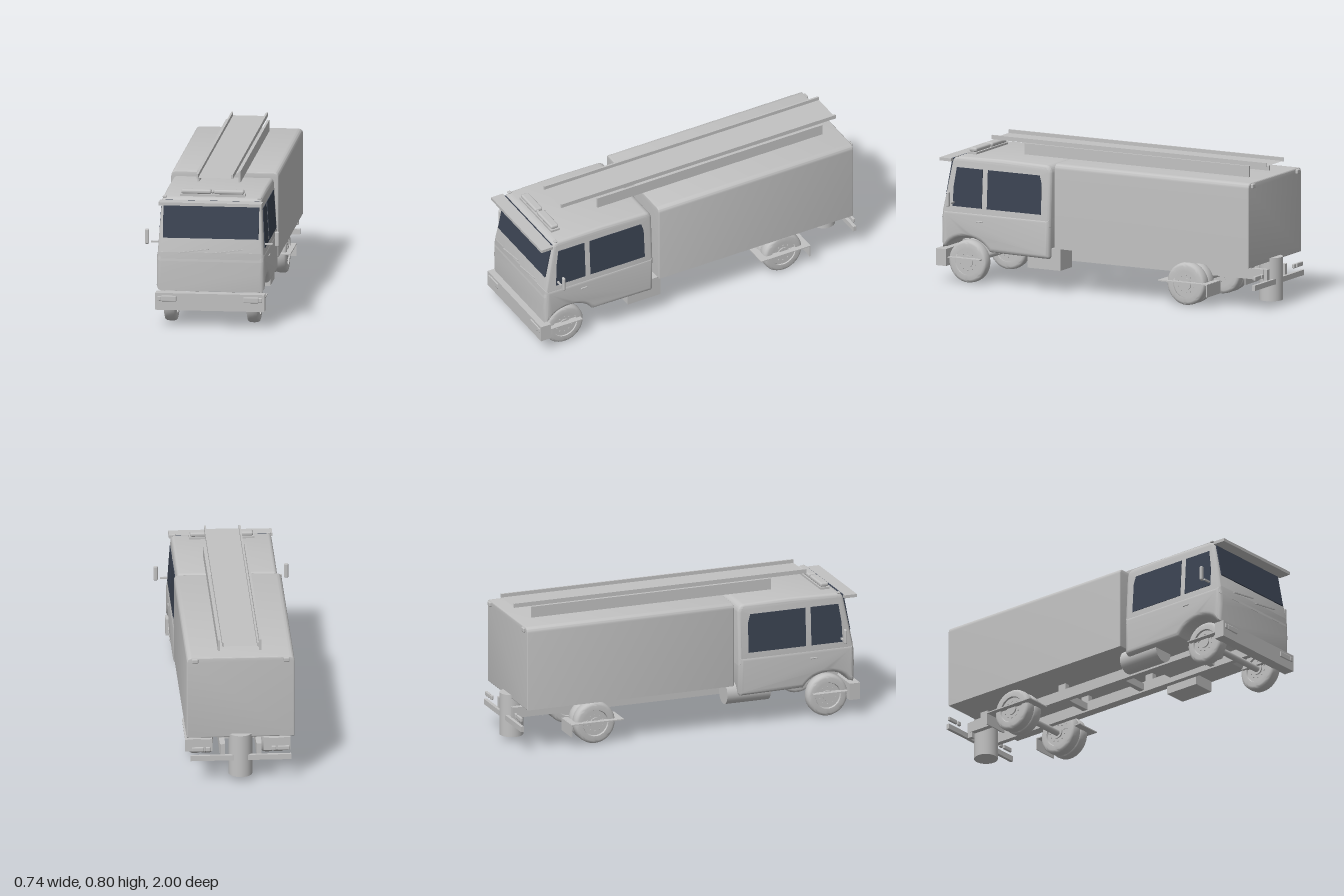
import * as THREE from 'three';
import { toCreasedNormals } from 'three/addons/utils/BufferGeometryUtils.js';
import { RoundedBoxGeometry } from 'three/addons/geometries/RoundedBoxGeometry.js';

export function createModel() {
  const truck = new THREE.Group();
  truck.name = 'truck';
  const paint = new THREE.MeshStandardMaterial({ color: 0xc2c2c2 });
  paint.name = 'grey paint';
  paint.side = THREE.DoubleSide;
  const glass = new THREE.MeshStandardMaterial({ color: 0x3b4352 });
  glass.name = 'dark glass';

  const add = (name, geometry, x = 0, y = 0, z = 0, material = paint, parent = truck) => {
    const mesh = new THREE.Mesh(geometry, material);
    mesh.name = name;
    mesh.position.set(x, y, z);
    parent.add(mesh);
    return mesh;
  };
  // Box given by its limits on each axis
  const block = (name, [x0, x1], [y0, y1], [z0, z1], material = paint) =>
    add(name, new THREE.BoxGeometry(x1 - x0, y1 - y0, z1 - z0),
      (x0 + x1) / 2, (y0 + y1) / 2, (z0 + z1) / 2, material);
  // Side outline in (z, y), extruded across the vehicle
  const acrossX = (shape, width, bevel) => {
    const depth = width - 2 * bevel;
    const g = new THREE.ExtrudeGeometry(shape, {
      depth, curveSegments: 12, bevelEnabled: bevel > 0, bevelSize: bevel,
      bevelThickness: bevel, bevelOffset: -bevel, bevelSegments: 5,
    });
    return g.translate(0, 0, -depth / 2).rotateY(-Math.PI / 2);
  };
  const outline = (points) => new THREE.Shape(points.map(([z, y]) => new THREE.Vector2(z, y)));
  const mirrored = (build) => [1, -1].forEach(build);

  // Box body with rounded roof edges
  const section = new THREE.Shape();
  section.moveTo(-0.295, 0.25).lineTo(0.295, 0.25).lineTo(0.295, 0.69);
  section.quadraticCurveTo(0.295, 0.72, 0.265, 0.72).lineTo(-0.265, 0.72);
  section.quadraticCurveTo(-0.295, 0.72, -0.295, 0.69);
  const body = new THREE.ExtrudeGeometry(section, {
    depth: 1.203, curveSegments: 8, bevelSize: 0.006, bevelThickness: 0.006,
    bevelOffset: -0.006, bevelSegments: 3,
  });
  add('boxBody', toCreasedNormals(body, 0.6), 0, 0, -0.95);

  // Lower cab with wheel arches
  const lower = new THREE.Shape();
  lower.moveTo(0.30, 0.185).lineTo(0.67, 0.19);
  lower.bezierCurveTo(0.73, 0.285, 0.89, 0.285, 0.94, 0.20);
  lower.lineTo(0.966, 0.195).lineTo(0.97, 0.30).lineTo(0.965, 0.41);
  lower.lineTo(0.29, 0.41).lineTo(0.29, 0.20);
  add('lowerCab', toCreasedNormals(acrossX(lower, 0.592, 0.026), 0.6));

  // Upper cab, narrowing towards the roof
  const halfWidth = (y) => 0.292 - 0.06 * (y - 0.4);
  const upper = new THREE.Shape();
  upper.moveTo(0.29, 0.36).lineTo(0.968, 0.36).lineTo(0.963, 0.41).lineTo(0.911, 0.675);
  upper.quadraticCurveTo(0.905, 0.70, 0.87, 0.703);
  upper.lineTo(0.60, 0.708).lineTo(0.33, 0.703).quadraticCurveTo(0.295, 0.70, 0.29, 0.66);
  const upperCab = acrossX(upper, 0.584, 0.02);
  const p = upperCab.attributes.position;
  for (let i = 0; i < p.count; i++) p.setX(i, p.getX(i) * halfWidth(p.getY(i)) / 0.292);
  add('upperCab', toCreasedNormals(upperCab, 0.6));

  // Windscreen
  const screen = add('windscreen', new THREE.BoxGeometry(0.526, 0.208, 0.008), 0, 0.588, 0.93, glass);
  screen.rotation.x = -0.194;

  // Side windows, lying on the sloping cab sides
  const windows = {
    doorWindow: [[0.715, 0.43], [0.897, 0.43], [0.893, 0.54], [0.877, 0.645], [0.715, 0.645]],
    crewWindow: [[0.345, 0.43], [0.683, 0.43], [0.683, 0.645], [0.36, 0.645], [0.347, 0.60]],
  };
  mirrored((s) => {
    for (const [name, points] of Object.entries(windows)) {
      const g = acrossX(outline(points), 0.006, 0);
      const q = g.attributes.position;
      for (let i = 0; i < q.count; i++) q.setX(i, q.getX(i) + s * halfWidth(q.getY(i)));
      g.computeVertexNormals();
      add(name, g, 0, 0, 0, glass);
    }
  });

  // Cab fittings
  block('sunVisor', [-0.283, 0.283], [0.673, 0.69], [0.912, 0.985]);
  block('bumper', [-0.3, 0.3], [0.093, 0.187], [0.935, 0.997]);
  mirrored((s) => {
    add('headlight', new RoundedBoxGeometry(0.084, 0.032, 0.012, 3, 0.005), s * 0.226, 0.157, 0.996);
    add('indicator', new RoundedBoxGeometry(0.022, 0.027, 0.012, 3, 0.005), s * 0.277, 0.157, 0.996);
    add('markerLight', new RoundedBoxGeometry(0.022, 0.01, 0.018, 2, 0.004), s * 0.26, 0.703, 0.885);
    add('mirror', new RoundedBoxGeometry(0.024, 0.084, 0.016, 3, 0.0075), s * 0.357, 0.479, 0.888);
    add('mirrorArm', new THREE.BoxGeometry(0.06, 0.009, 0.009), s * 0.304, 0.451, 0.888);
    add('doorHandle', new RoundedBoxGeometry(0.008, 0.009, 0.04, 2, 0.003), s * 0.297, 0.357, 0.727);
    const wiper = add('wiper', new THREE.BoxGeometry(0.166, 0.006, 0.006), s < 0 ? -0.094 : 0.094, 0.418, 0.968);
    wiper.rotation.z = 0.14;
    // Roof light bar
    add('lightBar', new RoundedBoxGeometry(0.165, 0.024, 0.048, 3, 0.01), s * 0.09, 0.727, 0.839);
  });
  block('lightBarBase', [-0.178, 0.178], [0.702, 0.715], [0.812, 0.866]);
  add('lightBarCentre', new THREE.SphereGeometry(0.009, 16, 10), 0, 0.727, 0.85);

  // Roof ladder on its long supports
  const deck = add('ladderDeck', new THREE.PlaneGeometry(0.185, 1.715), 0, 0.785, -0.0975);
  deck.rotation.x = -Math.PI / 2;
  mirrored((s) => {
    add('ladderRail', new THREE.BoxGeometry(0.01, 0.023, 1.715), s * 0.095, 0.793, -0.0975);
    add('ladderSupport', new THREE.BoxGeometry(0.012, 0.062, 1.405), s * 0.113, 0.751, -0.1575);
  });

  // Chassis
  mirrored((s) => block('chassisRail', s > 0 ? [0.085, 0.115] : [-0.115, -0.085], [0.155, 0.215], [-0.95, 0.94]));
  [-0.75, -0.3, 0.1, 0.6].forEach((z) => block('crossMember', [-0.09, 0.09], [0.165, 0.205], [z - 0.015, z + 0.015]));
  mirrored((s) => [-0.85, -0.3, 0.15].forEach((z) =>
    add('bodyMount', new THREE.BoxGeometry(0.03, 0.045, 0.05), s * 0.1, 0.232, z)));
  const tank = add('fuelTank', new THREE.CylinderGeometry(0.063, 0.063, 0.255, 32), -0.2, 0.188, 0.36);
  tank.rotation.x = Math.PI / 2;
  block('batteryBox', [0.14, 0.27], [0.125, 0.245], [0.235, 0.44]);

  // Wheels
  const profile = [[0.074, -0.034], [0.1, -0.034], [0.11, -0.031], [0.116, -0.022], [0.118, 0],
    [0.116, 0.022], [0.11, 0.031], [0.1, 0.034], [0.074, 0.034], [0.07, 0.024]];
  const tyre = toCreasedNormals(new THREE.LatheGeometry(
    profile.map(([r, w]) => new THREE.Vector2(r, w)), 40).rotateZ(Math.PI / 2), 0.7);
  const rim = new THREE.CylinderGeometry(0.074, 0.074, 0.05, 32).rotateZ(Math.PI / 2);
  const hub = new THREE.CylinderGeometry(0.03, 0.034, 0.064, 24).rotateZ(Math.PI / 2);
  const nut = new THREE.CylinderGeometry(0.004, 0.004, 0.06, 6).rotateZ(Math.PI / 2);
  const wheel = (name, x, z) => {
    const g = new THREE.Group();
    g.name = name;
    g.position.set(x, 0.12, z);
    truck.add(g);
    add('tyre', tyre, 0, 0, 0, paint, g);
    add('rim', rim, 0, 0, 0, paint, g);
    add('hub', hub, 0, 0, 0, paint, g);
    for (let i = 0; i < 10; i++) {
      const a = i * Math.PI / 5;
      add('wheelNut', nut, 0, 0.048 * Math.cos(a), 0.048 * Math.sin(a), paint, g);
    }
  };
  mirrored((s) => {
    wheel('frontWheel', s * 0.227, 0.825);
    wheel('rearOuterWheel', s * 0.227, -0.54);
    wheel('rearInnerWheel', s * 0.168, -0.54);
    // Flat mudguards and flaps
    add('frontMudguard', new THREE.BoxGeometry(0.11, 0.006, 0.2), s * 0.233, 0.14, 0.83);
    add('rearMudguard', new THREE.BoxGeometry(0.148, 0.006, 0.305), s * 0.214, 0.132, -0.5375);
    add('mudFlap', new THREE.BoxGeometry(0.148, 0.07, 0.006), s * 0.214, 0.099, -0.69);
  });
  [0.825, -0.54].forEach((z) => {
    const axle = add('axle', new THREE.CylinderGeometry(0.018, 0.018, 0.4, 16), 0, 0.12, z);
    axle.rotation.z = Math.PI / 2;
  });

  // Rear equipment
  add('rearDrum', new THREE.CylinderGeometry(0.065, 0.065, 0.24, 36), 0, 0.15, -0.932);
  block('rearBar', [-0.275, 0.275], [0.125, 0.155], [-0.985, -0.967]);
  mirrored((s) => {
    add('tailLight', new RoundedBoxGeometry(0.065, 0.024, 0.014, 2, 0.004), s * 0.235, 0.19, -0.976);
    add('plateLight', new RoundedBoxGeometry(0.025, 0.024, 0.014, 2, 0.004), s * 0.18, 0.19, -0.976);
    add('barBracket', new THREE.BoxGeometry(0.025, 0.09, 0.03), s * 0.1, 0.17, -0.955);
    add('rearMarker', new RoundedBoxGeometry(0.035, 0.026, 0.018, 2, 0.006), s * 0.25, 0.702, -0.959);
  });
  return truck;
}
